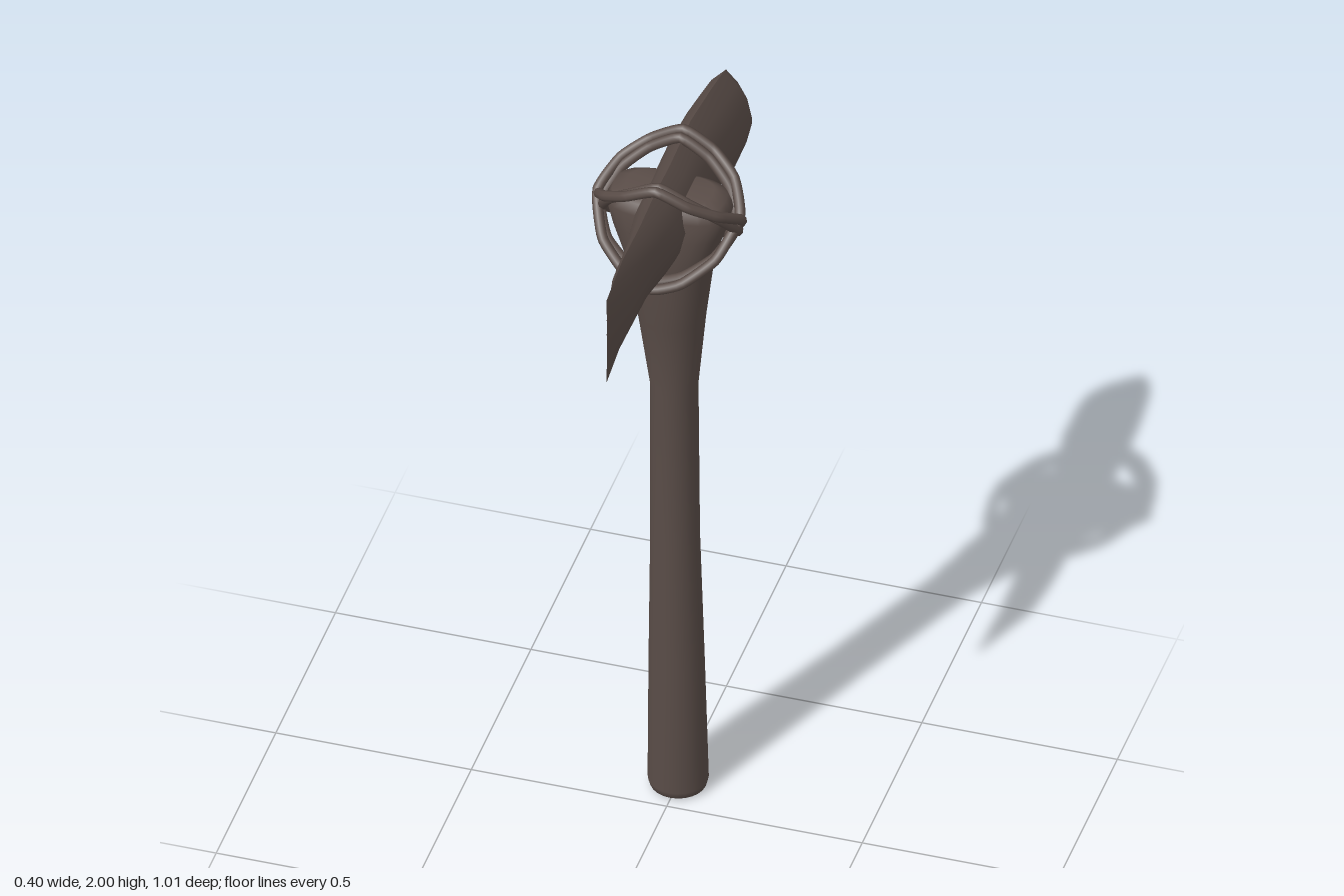
import * as THREE from 'three';

const brown = new THREE.MeshStandardMaterial({ color: 0x5a4d48 });
brown.name = 'dark brown';

// Joins rows of points into a surface; closed rows wrap around.
function loft(rows, closed, name) {
  const n = rows[0].length, index = [];
  for (let i = 0; i < rows.length - 1; i++) {
    for (let j = 0; j < (closed ? n : n - 1); j++) {
      const k = (j + 1) % n;
      const a = i * n + j, b = i * n + k, c = a + n, d = b + n;
      index.push(a, c, b, b, c, d);
    }
  }
  const geometry = new THREE.BufferGeometry();
  geometry.setAttribute('position', new THREE.Float32BufferAttribute(rows.flat(2), 3));
  geometry.setIndex(index);
  geometry.computeVertexNormals();
  const mesh = new THREE.Mesh(geometry, brown);
  mesh.name = name;
  return mesh;
}

// Shaft: y, centre z, half width, half depth, roundness (1 is an ellipse, less is boxier)
function makeHandle() {
  const sections = [
    [0, -0.097, 0.001, 0.001, 1], [0, -0.097, 0.06, 0.06, 1], [0.006, -0.097, 0.07, 0.07, 1],
    [0.025, -0.096, 0.075, 0.075, 1], [0.4, -0.083, 0.069, 0.068, 1], [0.8, -0.07, 0.061, 0.061, 1],
    [1.27, -0.063, 0.059, 0.063, 1], [1.5, -0.044, 0.084, 0.08, 0.95], [1.7, -0.03, 0.11, 0.095, 0.85],
    [1.8, -0.028, 0.143, 0.093, 0.75], [1.86, -0.027, 0.158, 0.088, 0.7],
    [1.89, -0.026, 0.143, 0.078, 0.7], [1.903, -0.026, 0.11, 0.06, 0.7],
    [1.903, -0.026, 0.001, 0.001, 1],
  ];
  const sides = 24;
  const bulge = (v, p) => Math.sign(v) * Math.abs(v) ** p;
  const rows = sections.map(([y, z, w, d, p]) => Array.from({ length: sides }, (_, j) => {
    const a = -j / sides * Math.PI * 2;
    return [bulge(Math.sin(a), p) * w, y, z + bulge(Math.cos(a), p) * d];
  }));
  return loft(rows, true, 'handle');
}

// Axe head: z, bottom, top, half width; lens section with a ridge above and below
function makeHead() {
  const head = new THREE.Group();
  head.name = 'axeHead';
  const sections = [
    [0.505, 1.69, 1.945, 0.001], [0.37, 1.722, 1.97, 0.033], [0.23, 1.727, 1.965, 0.042],
    [0.1, 1.703, 1.973, 0.064], [-0.03, 1.693, 1.968, 0.069], [-0.2, 1.68, 1.977, 0.07],
    [-0.37, 1.636, 1.947, 0.077], [-0.48, 1.635, 1.922, 0.072], [-0.497, 1.64, 1.915, 0.067],
    [-0.505, 1.65, 1.905, 0.058],
  ];
  const lens = [[0, 0], [0.45, 0.12], [0.8, 0.28], [1, 0.5], [0.8, 0.72], [0.45, 0.88], [0, 1]];
  for (const s of [1, -1]) {
    const profile = s > 0 ? lens : [...lens].reverse();
    const rows = sections.map(([z, y0, y1, w]) =>
      profile.map(([x, t]) => [s * x * w, y0 + (y1 - y0) * t, z]));
    head.add(loft(rows, false, s > 0 ? 'leftHeadFace' : 'rightHeadFace'));
    // flat butt at the back
    const end = rows[rows.length - 1];
    head.add(loft([end, end.map(([, y, z]) => [0, y, z])], false, 'headButt'));
  }
  return head;
}

// Lashing: two crossing loops of two strands each
function makeLashing() {
  const lashing = new THREE.Group();
  lashing.name = 'lashing';
  // x, y, lean towards the upper end of the loop
  const half = [
    [0, 1.986, 1], [0.08, 1.948, 0.93], [0.145, 1.905, 0.62], [0.182, 1.85, 0.05],
    [0.145, 1.765, -0.55], [0.07, 1.705, -0.9], [0, 1.682, -1],
  ];
  const outline = [...half, ...half.slice(1, -1).reverse().map(([x, y, k]) => [-x, y, k])];
  for (const lean of [1, -1]) {
    for (const strand of [0, 1]) {
      // the second strand lies inside the first and sags below it at the sides
      const points = outline.map(([x, y, k]) => new THREE.Vector3(
        x * (1 - strand * 0.05) + lean * 0.004,
        y - strand * (0.007 * Math.sign(k) + 0.03 * (1 - Math.abs(k))),
        -0.022 + lean * k * (0.13 - strand * 0.026)));
      const path = new THREE.CatmullRomCurve3(points, true, 'catmullrom', 0.25);
      const rope = new THREE.Mesh(new THREE.TubeGeometry(path, 72, 0.0135, 8, true), brown);
      rope.name = 'ropeStrand';
      lashing.add(rope);
    }
  }
  return lashing;
}

export function createModel() {
  const model = new THREE.Group();
  model.name = 'stoneAxe';
  model.add(makeHandle(), makeHead(), makeLashing());
  return model;
}
